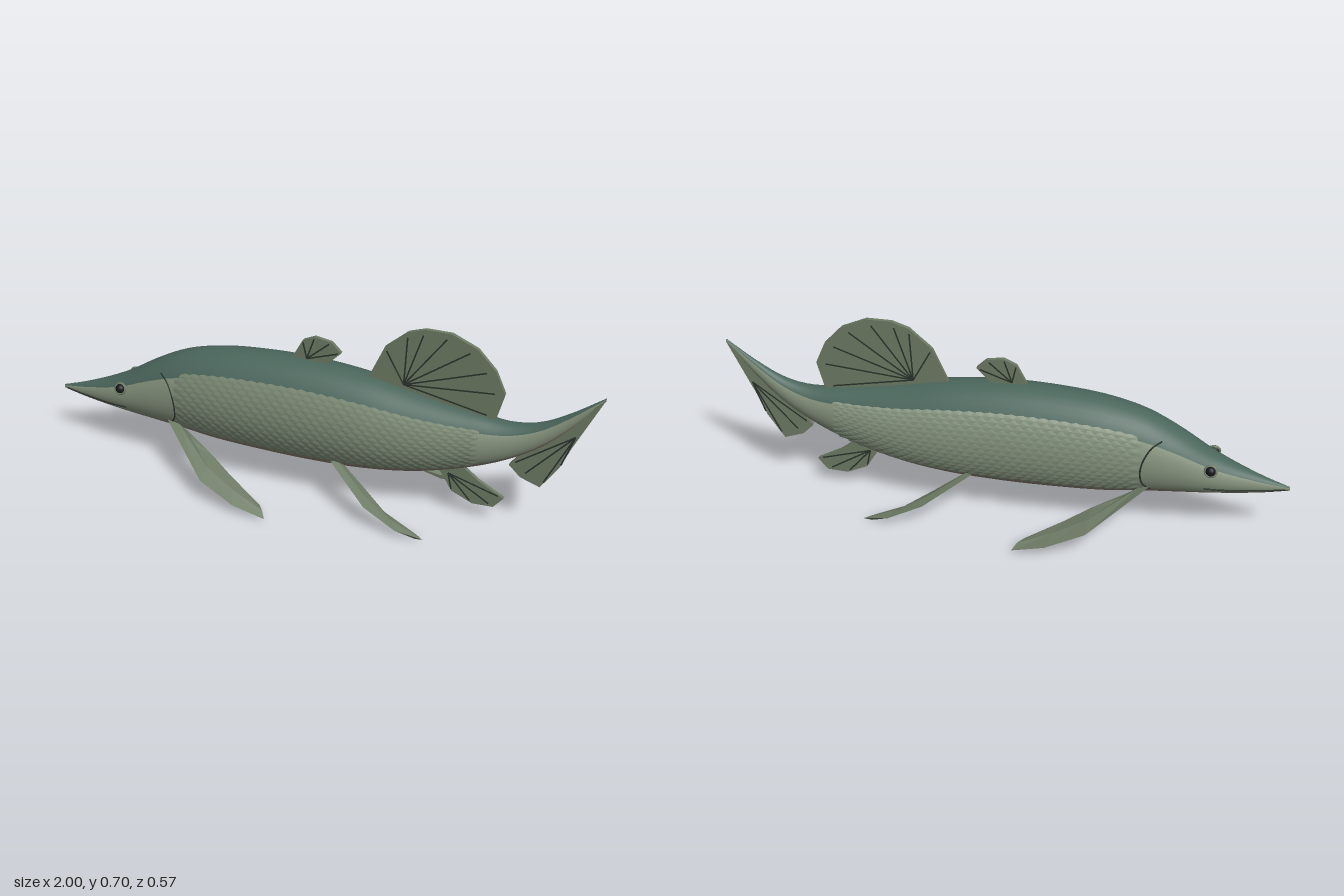
import * as THREE from 'three';
import { mergeGeometries } from 'three/addons/utils/BufferGeometryUtils.js';
import { ParametricGeometry } from 'three/addons/geometries/ParametricGeometry.js';

const paint = (color, extra = {}) => new THREE.MeshStandardMaterial({ color, ...extra });
const rad = THREE.MathUtils.degToRad;

// Body stations: x, belly height, back height, half width
const STATIONS = [
  [-1, 0.198, 0.212, 0.004], [-0.9, 0.18, 0.245, 0.026], [-0.74, 0.165, 0.315, 0.068],
  [-0.61, 0.155, 0.395, 0.095], [-0.5, 0.145, 0.45, 0.112], [-0.37, 0.13, 0.485, 0.126],
  [-0.2, 0.122, 0.504, 0.133], [0, 0.12, 0.507, 0.134], [0.2, 0.13, 0.488, 0.128],
  [0.38, 0.157, 0.452, 0.108], [0.57, 0.212, 0.42, 0.074], [0.7, 0.27, 0.407, 0.048],
  [0.8, 0.335, 0.43, 0.03], [0.89, 0.42, 0.482, 0.016], [1, 0.55, 0.562, 0.003],
];
const stationCurve = new THREE.CubicInterpolant(
  STATIONS.map(s => s[0]), STATIONS.flatMap(s => s.slice(1)), 3, new Float32Array(3));

// Point on the skin at x and angle (0 = left side, 90 = back), raised by lift
function skin(x, degrees, lift = 0, target = new THREE.Vector3()) {
  const [low, high, width] = stationCurve.evaluate(x);
  const a = rad(degrees);
  return target.set(x, (low + high) / 2 + ((high - low) / 2 + lift) * Math.sin(a), (width + lift) * Math.cos(a));
}

function skinPatch(from, to, slices) {
  return new ParametricGeometry((u, v, p) => skin(-1 + 2 * u, from + (to - from) * v, 0, p), 64, slices);
}

// Overlapping scales, each a fan with its rear edge raised
function scalesGeometry(side) {
  const pos = [];
  const columns = 29, rows = 14, n = 8;
  for (let r = 0; r < rows; r++) {
    for (let c = 0; c < columns; c++) {
      const x = -0.475 + (c + (r % 2) / 2) * 0.037;
      const angle = -39 + r * 5.8;
      const at = (dx, da, lift) => skin(x + dx, side > 0 ? angle + da : 180 - angle - da, lift);
      const centre = at(0, 0, 0.006);
      const rim = i => {
        const a = (i / n) * Math.PI * 2;
        return at(0.026 * Math.cos(a), 5 * Math.sin(a), 0.004 + 0.005 * Math.cos(a));
      };
      for (let i = 0; i < n; i++) {
        const tri = side > 0 ? [centre, rim(i), rim(i + 1)] : [centre, rim(i + 1), rim(i)];
        tri.forEach(p => pos.push(p.x, p.y, p.z));
      }
    }
  }
  const g = new THREE.BufferGeometry();
  g.setAttribute('position', new THREE.Float32BufferAttribute(pos, 3));
  g.computeVertexNormals();
  return g;
}

// Upright fin: flat plate with raised rays running from a hub
function uprightFin(name, outline, hub, rayEnds, finMat, rayMat) {
  const group = new THREE.Group();
  group.name = name;
  const shape = new THREE.Shape(outline.map(p => new THREE.Vector2(...p)));
  const plate = new THREE.Mesh(
    new THREE.ExtrudeGeometry(shape, { depth: 0.014, bevelEnabled: false }).translate(0, 0, -0.007), finMat);
  plate.name = name + 'Web';
  const rays = rayEnds.map(i => {
    const dx = outline[i][0] - hub[0], dy = outline[i][1] - hub[1];
    const length = Math.hypot(dx, dy) * 0.9;
    return new THREE.BoxGeometry(length, 0.005, 0.017).translate(length / 2, 0, 0)
      .rotateZ(Math.atan2(dy, dx)).translate(hub[0], hub[1], 0);
  });
  const rayMesh = new THREE.Mesh(mergeGeometries(rays), rayMat);
  rayMesh.name = name + 'Rays';
  group.add(plate, rayMesh);
  return group;
}

// Paired fin: diamond sections lofted between an outer and an inner edge
function pairedFin(outer, inner, side) {
  const rings = outer.map((o, i) => {
    const a = new THREE.Vector3(...o), b = new THREE.Vector3(...inner[i]);
    const j = Math.min(i, outer.length - 2);
    const along = new THREE.Vector3(...outer[j + 1]).sub(new THREE.Vector3(...outer[j]));
    const normal = along.cross(b.clone().sub(a)).normalize().multiplyScalar(0.008);
    const mid = a.clone().lerp(b, 0.5);
    return [a, mid.clone().add(normal), b, mid.clone().sub(normal)];
  });
  const pos = rings.flat().flatMap(p => [p.x, p.y, p.z * side]);
  const index = [];
  const face = (a, b, c) => index.push(...(side > 0 ? [a, b, c] : [a, c, b]));
  for (let i = 0; i < rings.length - 1; i++) {
    for (let k = 0; k < 4; k++) {
      const a = i * 4 + k, b = i * 4 + (k + 1) % 4;
      face(a, a + 4, b);
      face(b, a + 4, b + 4);
    }
  }
  const e = pos.length / 3 - 4;
  face(e, e + 2, e + 1);
  face(e, e + 3, e + 2);
  const g = new THREE.BufferGeometry();
  g.setAttribute('position', new THREE.Float32BufferAttribute(pos, 3));
  g.setIndex(index);
  g.computeVertexNormals();
  return g;
}

export function createModel() {
  const model = new THREE.Group();
  model.name = 'fish';
  const backMat = paint(0x4b665c), sideMat = paint(0x84917c), bellyMat = paint(0x887c6e);
  const scaleMat = paint(0x7f8d78, { flatShading: true, side: THREE.DoubleSide });
  const finMat = paint(0x6c7a64, { flatShading: true, side: THREE.DoubleSide });
  const lineMat = paint(0x2b332c), eyeMat = paint(0x15181a);
  const add = (name, geometry, material) => {
    const mesh = new THREE.Mesh(geometry, material);
    mesh.name = name;
    model.add(mesh);
    return mesh;
  };

  // Body in three colour bands
  add('back', skinPatch(35, 145, 14), backMat);
  add('leftFlank', skinPatch(-45, 35, 10), sideMat);
  add('rightFlank', skinPatch(145, 225, 10), sideMat);
  add('belly', skinPatch(225, 315, 12), bellyMat);

  // Upright fins
  model.add(
    uprightFin('mainDorsalFin', [[0.22, 0.465], [0.195, 0.487], [0.25, 0.61], [0.33, 0.68], [0.39, 0.7], [0.48, 0.7],
      [0.57, 0.66], [0.635, 0.59], [0.67, 0.51], [0.645, 0.415], [0.6, 0.4]],
    [0.32, 0.48], [2, 3, 4, 5, 6, 7, 8, 9], finMat, lineMat),
    uprightFin('smallDorsalFin', [[-0.08, 0.495], [-0.08, 0.515], [-0.045, 0.58], [0, 0.6], [0.06, 0.59],
      [0.095, 0.555], [0.05, 0.51], [0.04, 0.495]],
    [-0.03, 0.512], [2, 3, 4, 5], finMat, lineMat),
    uprightFin('analFin', [[0.45, 0.185], [0.505, 0.095], [0.58, 0.06], [0.655, 0.063], [0.69, 0.105],
      [0.6, 0.155], [0.53, 0.21]],
    [0.49, 0.165], [1, 2, 3, 4], finMat, lineMat),
    uprightFin('tailFin', [[1, 0.556], [0.905, 0.355], [0.87, 0.27], [0.81, 0.18], [0.74, 0.205], [0.7, 0.245],
      [0.75, 0.315], [0.88, 0.44]],
    [0.915, 0.4], [2, 3, 4, 5], finMat, lineMat));

  // Paired fins, scales and head details on both sides
  const pectoral = [
    [[-0.53, 0.215, 0.1], [-0.335, 0.093, 0.258], [-0.2, 0.04, 0.287], [-0.085, 0.007, 0.281]],
    [[-0.46, 0.165, 0.075], [-0.34, 0.125, 0.135], [-0.25, 0.085, 0.18], [-0.12, 0.03, 0.235]]];
  const pelvic = [
    [[0.09, 0.18, 0.1], [0.25, 0.088, 0.203], [0.37, 0.035, 0.224], [0.465, 0.007, 0.203]],
    [[0.13, 0.155, 0.068], [0.22, 0.105, 0.11], [0.31, 0.055, 0.155], [0.41, 0.007, 0.185]]];
  for (const [label, side] of [['left', 1], ['right', -1]]) {
    const turn = d => (side > 0 ? d : 180 - d);
    const seam = (name, points) => add(label + name, new THREE.TubeGeometry(
      new THREE.CatmullRomCurve3(points.map(([x, d]) => skin(x, turn(d), 0.0005))), 24, 0.003, 5), lineMat);
    add(label + 'PectoralFin', pairedFin(...pectoral, side), finMat);
    add(label + 'PelvicFin', pairedFin(...pelvic, side), finMat);
    add(label + 'Scales', scalesGeometry(side), scaleMat);
    seam('GillSlit', [[-0.56, 46], [-0.525, 28], [-0.497, 0], [-0.502, -28], [-0.53, -44]]);
    seam('MouthLine', [[-0.985, -15], [-0.92, -22], [-0.85, -26], [-0.78, -27], [-0.71, -26]]);
    const centre = skin(-0.73, turn(32), 0);
    add(label + 'Eye', new THREE.SphereGeometry(0.018, 16, 12), eyeMat).position.copy(centre).add(new THREE.Vector3(0, 0, side * 0.007));
    const rim = add(label + 'EyeRim', new THREE.TorusGeometry(0.019, 0.005, 8, 20), finMat);
    rim.position.copy(centre).add(new THREE.Vector3(0, 0, side * 0.008));
    rim.rotation.x = -side * 0.3;
  }
  return model;
}
